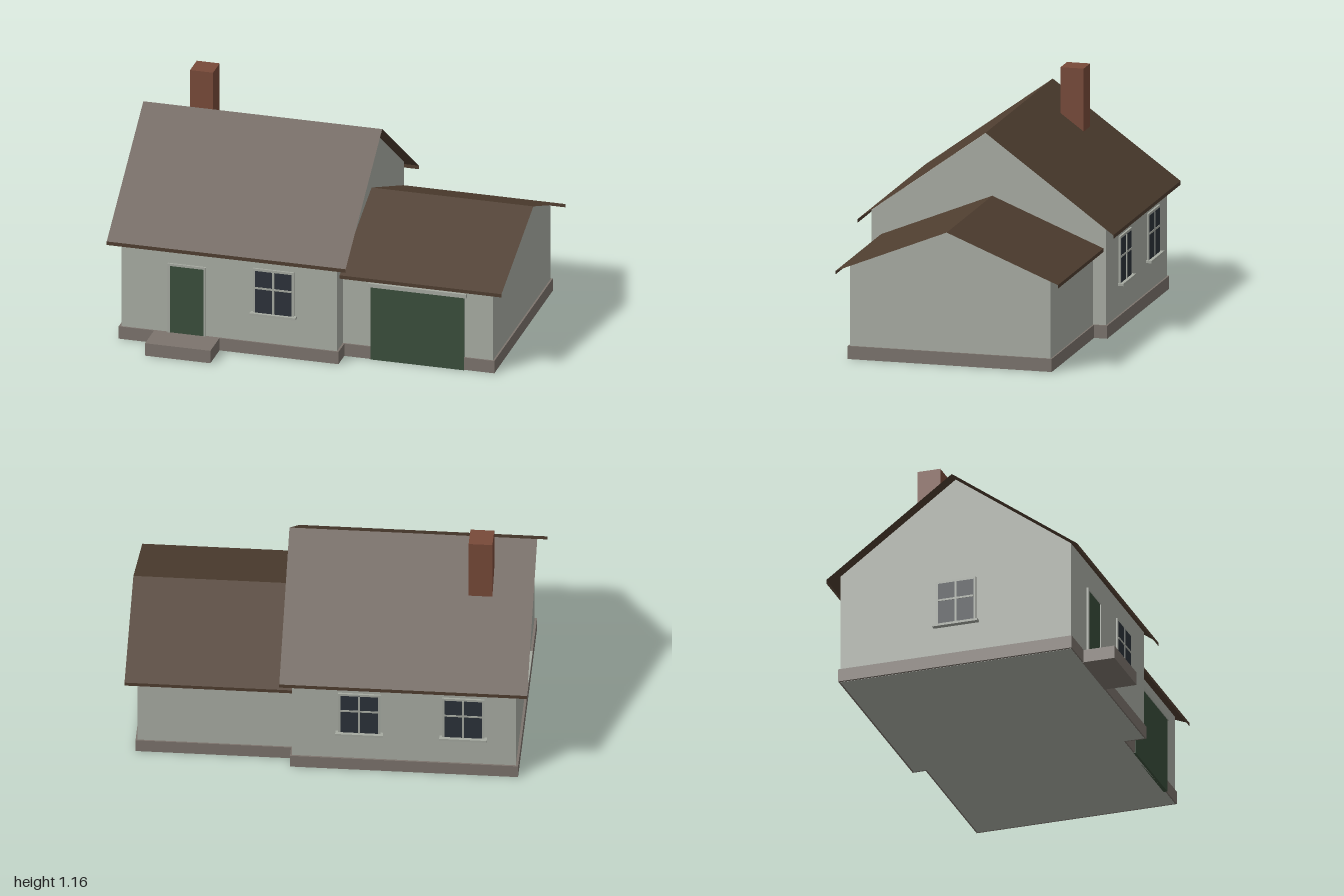
import * as THREE from 'three';

const mat = (name, color, side = THREE.FrontSide) => {
  const m = new THREE.MeshStandardMaterial({ color, side });
  m.name = name;
  return m;
};

export function createModel() {
  const house = new THREE.Group();
  house.name = 'house';

  const wall = mat('wall render', 0xa9ada4);
  const trim = mat('trim', 0xa6aaa1);
  const stone = mat('base stone', 0x7c746d);
  const roofing = mat('roofing', 0x4f3e30, THREE.DoubleSide);
  const green = mat('door green', 0x3a4e3b);
  const brick = mat('chimney brick', 0x784a39);
  const glass = mat('window glass', 0x2c323a);

  // Box given by its limits on each axis
  function box(name, material, [x0, x1], [y0, y1], [z0, z1], parent = house) {
    const mesh = new THREE.Mesh(new THREE.BoxGeometry(x1 - x0, y1 - y0, z1 - z0), material);
    mesh.position.set((x0 + x1) / 2, (y0 + y1) / 2, (z0 + z1) / 2);
    mesh.name = name;
    parent.add(mesh);
  }

  // Gabled body, its ridge running along x
  function gabledWalls(name, [x0, x1], [back, front], eaveY, ridgeY) {
    const shape = new THREE.Shape([
      new THREE.Vector2(-front, 0),
      new THREE.Vector2(-back, 0),
      new THREE.Vector2(-back, eaveY),
      new THREE.Vector2(-(front + back) / 2, ridgeY),
      new THREE.Vector2(-front, eaveY),
    ]);
    const geo = new THREE.ExtrudeGeometry(shape, { depth: x1 - x0, bevelEnabled: false });
    geo.rotateY(Math.PI / 2).translate(x0, 0, 0);
    const mesh = new THREE.Mesh(geo, wall);
    mesh.name = name;
    house.add(mesh);
  }

  // Open roof sheet: fascia, front slope, back slope, fascia
  function roof(name, [x0, x1], [back, front], eaveY, ridgeY, fascia) {
    const profile = [
      [eaveY - fascia, front], [eaveY, front], [ridgeY, (front + back) / 2],
      [eaveY, back], [eaveY - fascia, back],
    ];
    const pos = [];
    for (let i = 0; i < profile.length - 1; i++) {
      const [a, b] = [profile[i], profile[i + 1]];
      pos.push(x0, ...a, x1, ...a, x1, ...b, x0, ...a, x1, ...b, x0, ...b);
    }
    const geo = new THREE.BufferGeometry();
    geo.setAttribute('position', new THREE.Float32BufferAttribute(pos, 3));
    geo.computeVertexNormals();
    const mesh = new THREE.Mesh(geo, roofing);
    mesh.name = name;
    house.add(mesh);
  }

  // Window facing local +z, with its back on the wall
  function windowUnit(name, x, z, turn) {
    const g = new THREE.Group();
    g.name = name;
    const w = 0.105, bottom = -0.116, top = 0.124, t = 0.012;
    for (const s of [-1, 1]) {
      const xs = [s * w, s * (w - t)].sort((a, b) => a - b);
      box('windowJamb', trim, xs, [bottom, top], [-0.005, 0.01], g);
    }
    box('windowHead', trim, [-w, w], [top - t, top], [-0.005, 0.01], g);
    box('windowSill', trim, [-0.118, 0.118], [bottom - 0.008, bottom + 0.004], [-0.005, 0.028], g);
    box('windowPane', glass, [-w + t, w - t], [bottom, top - t], [0.003, 0.011], g);
    box('verticalBar', trim, [-0.005, 0.005], [bottom, top - t], [0.004, 0.014], g);
    box('crossBar', trim, [-w + t, w - t], [0.016, 0.026], [0.004, 0.0135], g);
    g.position.set(x, 0.342, z);
    g.rotation.y = turn;
    house.add(g);
  }

  // Main house and lower garage wing
  gabledWalls('mainWalls', [-0.94, 0.168], [-0.66, 0.544], 0.576, 1.014);
  gabledWalls('garageWalls', [0.16, 0.94], [-0.593, 0.438], 0.474, 0.683);
  roof('mainRoof', [-1, 0.228], [-0.714, 0.598], 0.54, 1.018, 0.019);
  roof('garageRoof', [0.168, 1], [-0.647, 0.495], 0.456, 0.687, 0.018);

  // Stone base and front step
  box('mainBase', stone, [-0.952, 0.178], [0.001, 0.067], [-0.669, 0.552]);
  box('garageBase', stone, [0.17, 0.949], [0.001, 0.067], [-0.601, 0.446]);
  box('frontStep', stone, [-0.77, -0.434], [0, 0.067], [0.54, 0.713]);

  box('chimney', brick, [-0.797, -0.679], [0.7, 1.156], [-0.307, -0.188]);

  // Front door with its surround
  box('frontDoor', green, [-0.688, -0.516], [0.067, 0.428], [0.538, 0.551]);
  for (const [a, b] of [[-0.7, -0.688], [-0.516, -0.504]]) {
    box('doorJamb', trim, [a, b], [0.067, 0.438], [0.538, 0.554]);
  }
  box('doorHead', trim, [-0.7, -0.504], [0.427, 0.439], [0.538, 0.554]);

  // Garage door reaching the ground
  box('garageDoor', green, [0.313, 0.793], [0, 0.392], [0.43, 0.45]);
  box('garageLintel', trim, [0.301, 0.806], [0.391, 0.411], [0.43, 0.454]);

  // Windows on the front, back and right-hand gable
  windowUnit('frontWindow', -0.156, 0.544, 0);
  for (const x of [-0.165, -0.68]) windowUnit('backWindow', x, -0.66, Math.PI);
  windowUnit('gableWindow', -0.94, -0.055, -Math.PI / 2);

  return house;
}
